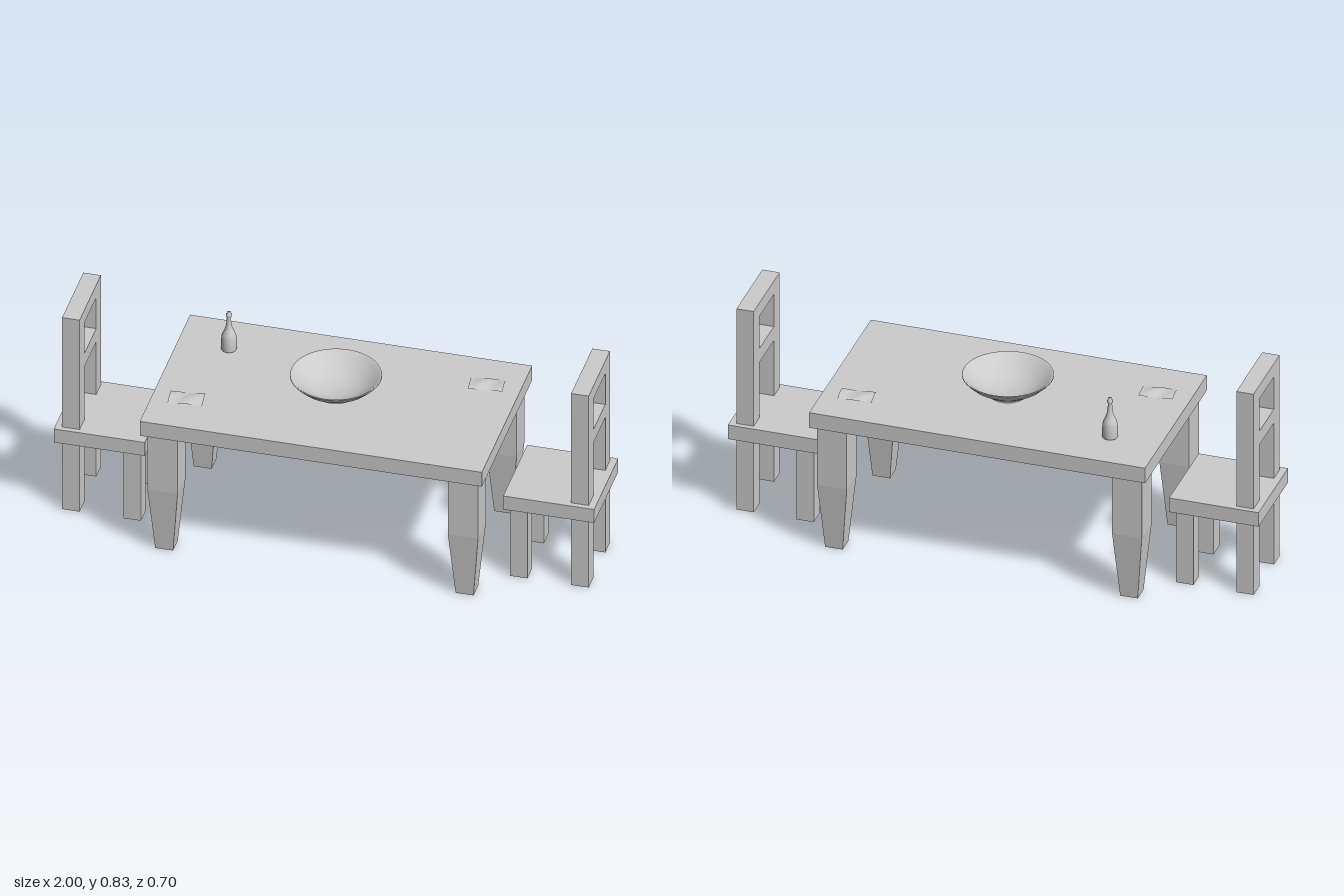
import * as THREE from 'three';

const flat = new THREE.MeshStandardMaterial({ color: 0xcccccc, flatShading: true });
const smooth = new THREE.MeshStandardMaterial({ color: 0xcccccc, side: THREE.DoubleSide });
const TOP = 0.572; // height of the table surface

function add(parent, name, geometry, material, x = 0, y = 0, z = 0) {
  const mesh = new THREE.Mesh(geometry, material);
  mesh.name = name;
  mesh.position.set(x, y, z);
  parent.add(mesh);
  return mesh;
}

// Box given by its lower and upper height
function block(parent, name, w, d, y0, y1, x, z) {
  return add(parent, name, new THREE.BoxGeometry(w, y1 - y0, d), flat, x, (y0 + y1) / 2, z);
}

function group(parent, name) {
  const g = new THREE.Group();
  g.name = name;
  parent.add(g);
  return g;
}

// Square leg: straight upper half, tapered lower half
function taperedLeg() {
  const h = 0.51, knee = 0.265, w = 0.112, foot = 0.066;
  const geo = new THREE.BoxGeometry(w, h, w, 1, 2, 1);
  const p = geo.attributes.position;
  for (let i = 0; i < p.count; i++) {
    const y = p.getY(i);
    const s = y < -0.1 ? foot / w : 1;
    const ny = y < -0.1 ? 0 : y > 0.1 ? h : knee;
    p.setXYZ(i, p.getX(i) * s, ny, p.getZ(i) * s);
  }
  geo.computeVertexNormals();
  return geo;
}

function buildTable(parent) {
  const table = group(parent, 'table');
  block(table, 'tableTop', 1.266, 0.702, 0.51, TOP, 0, 0);
  const leg = taperedLeg();
  for (const x of [-0.556, 0.556])
    for (const z of [-0.269, 0.269]) add(table, 'tableLeg', leg, flat, x, 0, z);
}

// Chair on the +x side, facing the table
function buildChair(parent, name) {
  const chair = group(parent, name);
  block(chair, 'seat', 0.337, 0.336, 0.297, 0.355, 0.8315, 0);
  for (const z of [-0.1155, 0.1155]) {
    block(chair, 'frontLeg', 0.065, 0.065, 0, 0.297, 0.715, z);
    block(chair, 'backPost', 0.065, 0.065, 0, 0.828, 0.942, z);
  }
  block(chair, 'topRail', 0.065, 0.166, 0.773, 0.828, 0.942, 0);
  block(chair, 'middleRail', 0.065, 0.166, 0.583, 0.64, 0.942, 0);
  return chair;
}

function lathe(points, segments) {
  return new THREE.LatheGeometry(points.map(([r, y]) => new THREE.Vector2(r, y)), segments);
}

// Thin rumpled cloth lying on the table
function napkinGeometry() {
  const geo = new THREE.PlaneGeometry(0.125, 0.075, 20, 12);
  geo.rotateX(-Math.PI / 2);
  const p = geo.attributes.position;
  for (let i = 0; i < p.count; i++) {
    const x = p.getX(i), z = p.getZ(i);
    const fold = 0.005 * Math.cos(z * 42) * (0.8 + 0.2 * Math.sin(x * 90));
    p.setY(i, 0.004 + fold + 0.0015 * Math.sin(x * 60 + z * 50));
  }
  geo.computeVertexNormals();
  return geo;
}

export function createModel() {
  const model = new THREE.Group();
  model.name = 'diningSet';

  buildTable(model);
  buildChair(model, 'leftChair');
  buildChair(model, 'rightChair').rotation.y = Math.PI;

  // Footed bowl: outside up to the rim, then down the inside
  const bowl = group(model, 'bowl');
  add(bowl, 'bowlFoot', lathe([[0, 0], [0.068, 0], [0.068, 0.012], [0, 0.012]], 40), smooth, 0, TOP, 0);
  add(bowl, 'bowlShell', lathe([
    [0, 0.011], [0.066, 0.011], [0.1, 0.026], [0.135, 0.05], [0.158, 0.072], [0.165, 0.08],
    [0.164, 0.083], [0.158, 0.081], [0.146, 0.07], [0.12, 0.05], [0.085, 0.029], [0.045, 0.019], [0, 0.016],
  ], 48), smooth, 0, TOP, 0);

  // Bottle with sloping shoulder, slim neck, collar and stopper
  add(model, 'bottle', lathe([
    [0, 0], [0.026, 0], [0.028, 0.003], [0.0285, 0.03], [0.027, 0.055], [0.024, 0.067],
    [0.017, 0.082], [0.012, 0.097], [0.0085, 0.118], [0.0075, 0.142], [0.011, 0.143],
    [0.011, 0.15], [0.0075, 0.151], [0.0075, 0.16], [0, 0.16],
  ], 28), smooth, -0.443, TOP, -0.176);

  // A napkin at each place, turned to face its chair
  const cloth = napkinGeometry();
  add(model, 'rightNapkin', cloth, smooth, -0.508, TOP, 0.172).rotation.y = 0.1;
  add(model, 'leftNapkin', cloth, smooth, 0.508, TOP, -0.188).rotation.y = Math.PI + 0.1;

  return model;
}
